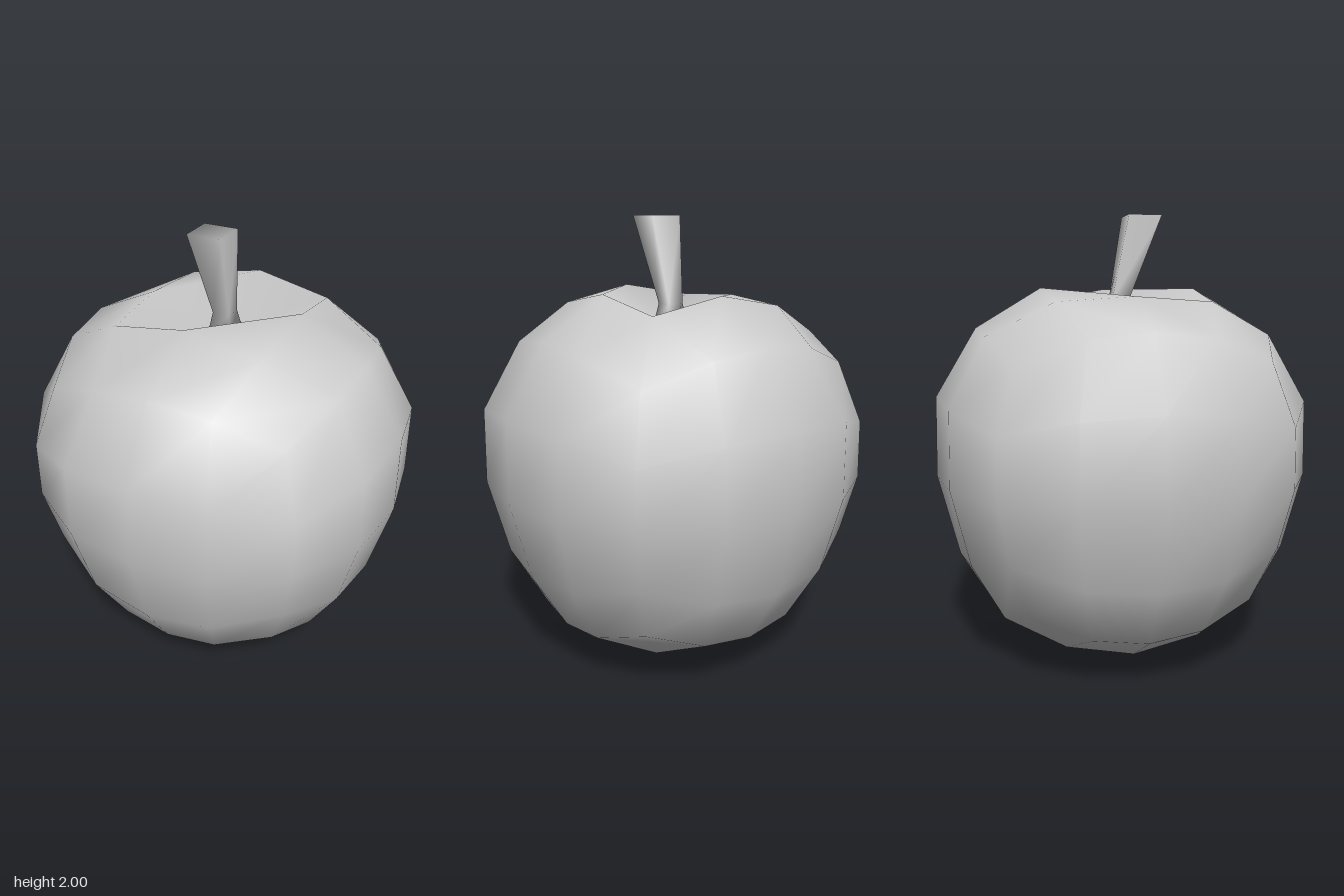
import * as THREE from 'three';
import { mergeVertices } from 'three/addons/utils/BufferGeometryUtils.js';

const material = new THREE.MeshStandardMaterial({ color: 0xcccccc });

// A box with welded corners, each vertex moved by a rule, smooth shaded
function shapedBox(name, segments, move) {
  let geometry = new THREE.BoxGeometry(2, 2, 2, ...segments);
  geometry.deleteAttribute('normal');
  geometry.deleteAttribute('uv');
  geometry = mergeVertices(geometry);
  const pos = geometry.attributes.position;
  const v = new THREE.Vector3();
  for (let i = 0; i < pos.count; i++) {
    move(v.fromBufferAttribute(pos, i));
    pos.setXYZ(i, v.x, v.y, v.z);
  }
  geometry.computeVertexNormals();
  const mesh = new THREE.Mesh(geometry, material);
  mesh.name = name;
  return mesh;
}

// Fruit profile [radius, height], every 22.5 degrees from the top dip to the bottom
const PROFILE = [
  [0, 1.53], [0.355, 1.68], [0.645, 1.505], [0.825, 1.205], [0.832, 0.85],
  [0.74, 0.485], [0.582, 0.22], [0.318, 0.06], [0, 0.005],
];

function fruitRule(v) {
  // even angles over each cube face
  for (const axis of ['x', 'y', 'z']) v[axis] = Math.tan(v[axis] * Math.PI / 4);
  v.normalize();
  const step = Math.acos(THREE.MathUtils.clamp(v.y, -1, 1)) / (Math.PI / 8);
  const i = Math.min(Math.floor(step + 1e-4), 7);
  const t = Math.max(step - i, 0);
  const around = Math.atan2(v.z, v.x);
  // slightly fuller on the diagonals
  const bulge = 1 + 0.04 * Math.sin(2 * around) ** 2;
  const r = THREE.MathUtils.lerp(PROFILE[i][0], PROFILE[i + 1][0], t) * bulge;
  let y = THREE.MathUtils.lerp(PROFILE[i][1], PROFILE[i + 1][1], t);
  const x = r * Math.cos(around);
  // the rim sags a little on one side
  if (y > 1.66 && x < -0.3) y -= 0.04;
  v.set(x, y, r * Math.sin(around));
}

// Square stem sections from base to tip: height, half width, forward lean
const STEM = [[1.52, 0.057, -0.004], [1.62, 0.038, 0], [2, 0.075, 0.107]];

function stemRule(v) {
  const [y, half, lean] = STEM[Math.round(v.y) + 1];
  v.set(v.x * half, y, v.z * half + lean);
}

export function createModel() {
  const group = new THREE.Group();
  group.name = 'apple';
  group.add(shapedBox('fruit', [4, 4, 4], fruitRule));
  group.add(shapedBox('stem', [1, 2, 1], stemRule));
  return group;
}
